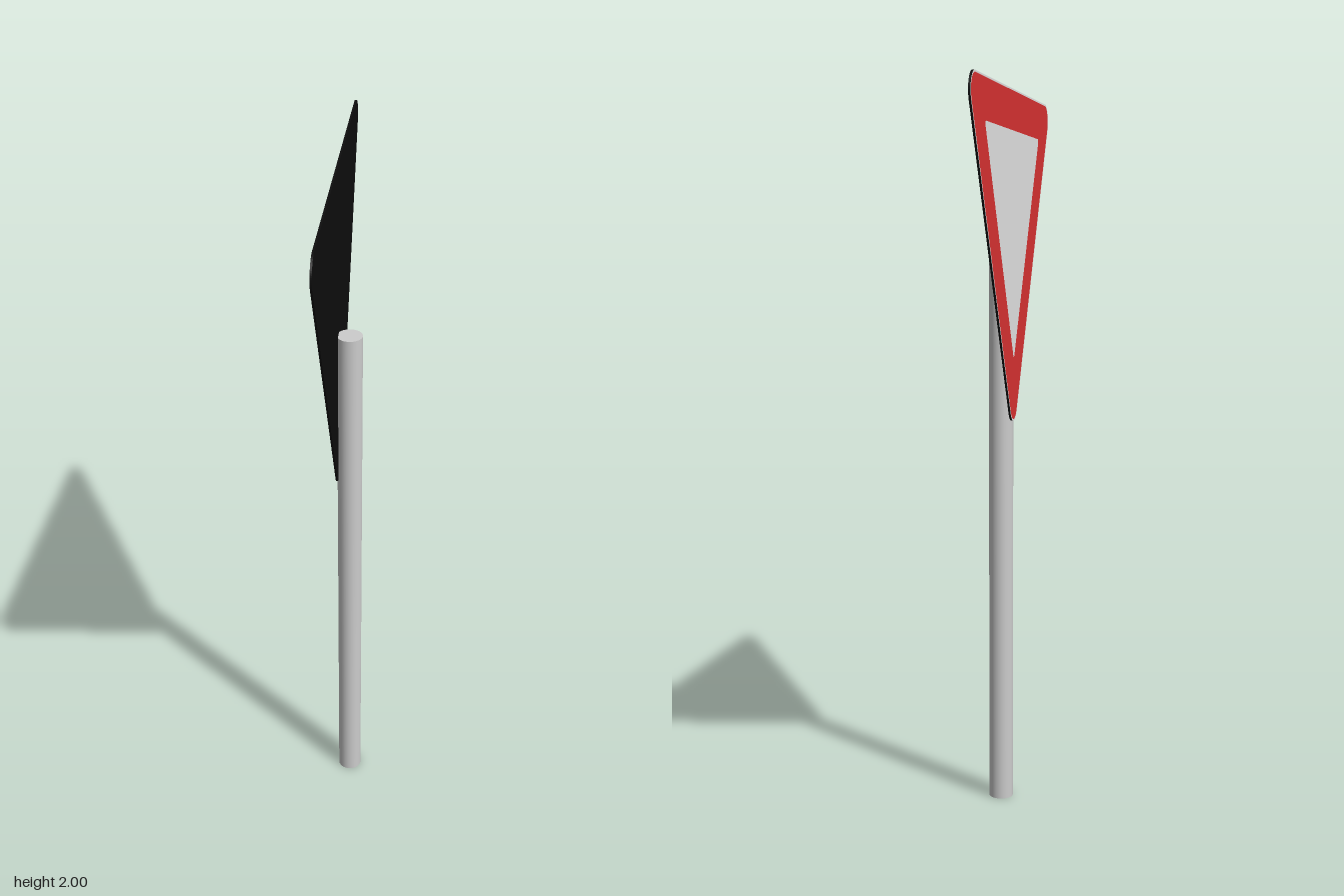
import * as THREE from 'three';

const TOP = 2, INRADIUS = 0.3175, CORNER = 0.05;

// Downward-pointing rounded triangle, its outline moved inwards by inset
function triangle(inset, radius, Type = THREE.Shape) {
  const path = new Type();
  const reach = 2 * (INRADIUS - inset - radius);
  for (const deg of [-90, 30, 150]) {
    const a = THREE.MathUtils.degToRad(deg);
    path.absarc(reach * Math.cos(a), reach * Math.sin(a), radius, a - Math.PI / 3, a + Math.PI / 3, false);
  }
  path.closePath();
  return path;
}

// Band between two triangle outlines
function band(outer, outerRadius, inner, innerRadius) {
  const shape = triangle(outer, outerRadius);
  shape.holes.push(triangle(inner, innerRadius, THREE.Path));
  return new THREE.ShapeGeometry(shape, 10);
}

export function createModel() {
  const group = new THREE.Group();
  const material = (name, color) => {
    const m = new THREE.MeshStandardMaterial({ color });
    m.name = name;
    return m;
  };
  const grey = material('pole grey', 0xcccccc);
  const black = material('backing black', 0x0e0e0e);
  const red = material('border red', 0xdc3232);
  const white = material('panel white', 0xffffff);

  const add = (parent, name, geometry, mat) => {
    const mesh = new THREE.Mesh(geometry, mat);
    mesh.name = name;
    parent.add(mesh);
    return mesh;
  };

  // Round post
  const pole = add(group, 'pole', new THREE.CylinderGeometry(0.034, 0.034, 1.545, 32), grey);
  pole.position.set(0.001, 1.545 / 2, 0);

  // Sign board, turned to face -x
  const sign = new THREE.Group();
  sign.name = 'sign';
  sign.rotation.y = -Math.PI / 2;
  sign.position.set(-0.029, TOP - INRADIUS, 0);
  group.add(sign);

  add(sign, 'backingPlate', new THREE.ExtrudeGeometry(triangle(0, CORNER),
    { depth: 0.005, bevelEnabled: false, curveSegments: 10 }), black);

  // Painted face: thin rim, wide border and centre panel
  const face = new THREE.Group();
  face.name = 'signFace';
  face.position.z = 0.006;
  sign.add(face);
  add(face, 'rim', band(0, CORNER, 0.005, 0.045), white);
  add(face, 'border', band(0.005, 0.045, 0.11, 0.008), red);
  add(face, 'centrePanel', new THREE.ShapeGeometry(triangle(0.11, 0.008), 10), white);

  return group;
}
